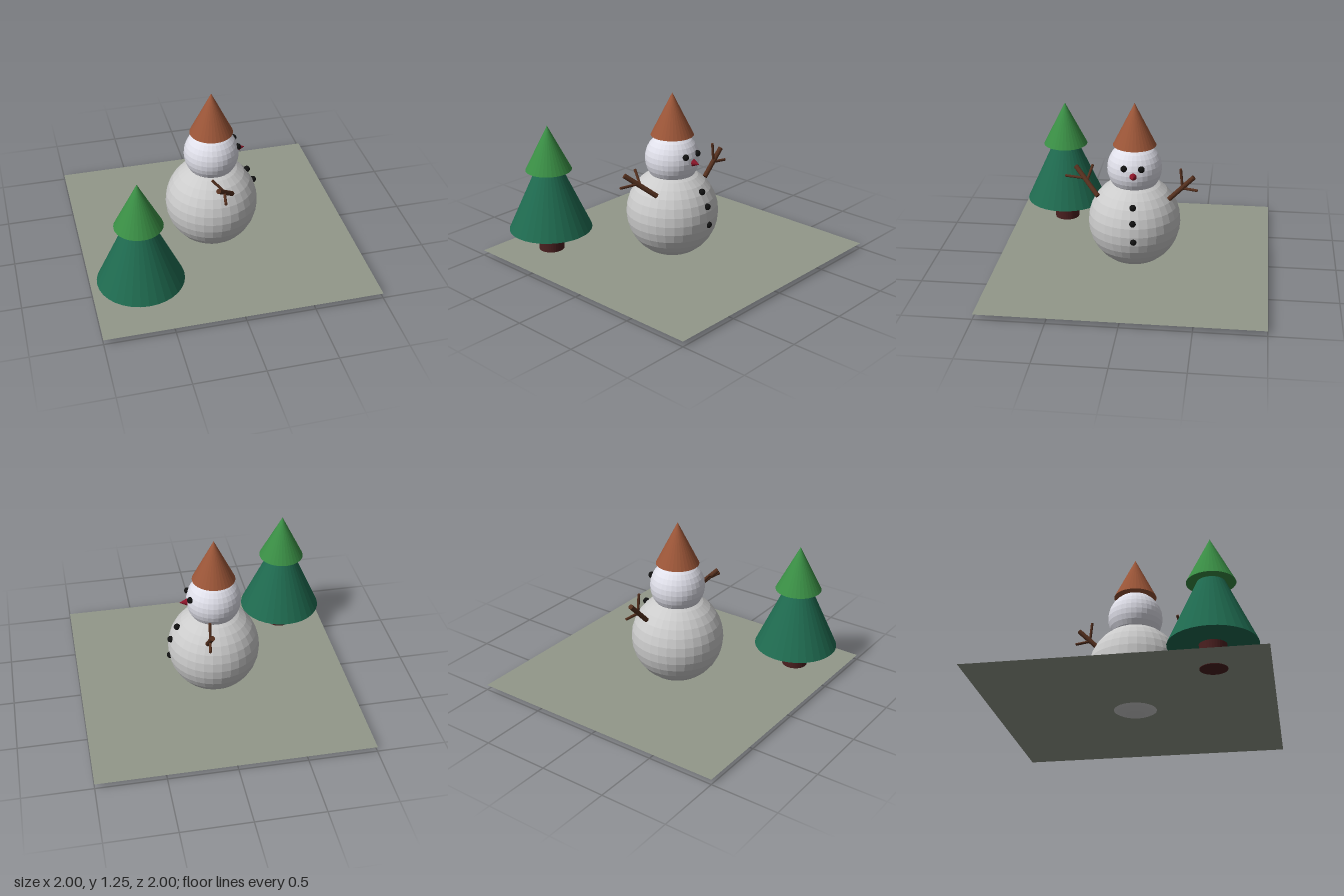
import * as THREE from 'three';

const mat = (color) => new THREE.MeshStandardMaterial({ color, flatShading: true });

export function createModel() {
  const model = new THREE.Group();
  const bark = mat(0x55301e);
  const coal = mat(0x111111);

  function add(name, geometry, material, x, y, z, parent = model) {
    const mesh = new THREE.Mesh(geometry, material);
    mesh.name = name;
    mesh.position.set(x, y, z);
    parent.add(mesh);
    return mesh;
  }

  // Cone placed by the height of its base and tip
  function cone(name, radius, base, tip, color, x, z, parent) {
    const geometry = new THREE.ConeGeometry(radius, tip - base, 32);
    return add(name, geometry, mat(color), x, (base + tip) / 2, z, parent);
  }

  // Tapered stick between two points
  function stick(name, from, to, r0, r1, parent) {
    const a = new THREE.Vector3(...from);
    const b = new THREE.Vector3(...to);
    const dir = b.clone().sub(a);
    const mid = a.clone().add(b).multiplyScalar(0.5);
    const mesh = add(name, new THREE.CylinderGeometry(r1, r0, dir.length(), 12), bark, mid.x, mid.y, mid.z, parent);
    mesh.quaternion.setFromUnitVectors(new THREE.Vector3(0, 1, 0), dir.normalize());
  }

  // Ground sheet, just above the bottom of the snowman
  const groundMat = mat(0x92988a);
  groundMat.side = THREE.DoubleSide;
  add('ground', new THREE.PlaneGeometry(2, 2).rotateX(-Math.PI / 2), groundMat, 0, 0.038, 0);

  // Tree
  const tree = new THREE.Group();
  tree.name = 'tree';
  tree.position.set(-0.665, 0, 0.62);
  model.add(tree);
  add('trunk', new THREE.CylinderGeometry(0.094, 0.094, 0.19, 32), mat(0x4a1f1f), 0, 0.13, 0, tree);
  cone('lowerBranches', 0.307, 0.207, 0.88, 0x1f6b50, 0, 0, tree);
  cone('upperBranches', 0.17, 0.665, 1.0, 0x3a8f45, 0, 0, tree);

  // Snowman, facing +x
  const snowman = new THREE.Group();
  snowman.name = 'snowman';
  model.add(snowman);
  add('body', new THREE.SphereGeometry(0.34, 32, 16), mat(0xcccccc), -0.01, 0.34, 0, snowman);
  add('head', new THREE.SphereGeometry(0.2, 32, 16), mat(0xe0e0ea), -0.01, 0.755, 0, snowman);
  cone('hat', 0.157, 0.93, 1.245, 0x9c5638, -0.01, 0, snowman);

  const pebble = new THREE.SphereGeometry(0.024, 16, 12);
  for (const z of [0.057, -0.068]) add('eye', pebble, coal, 0.172, 0.81, z, snowman);
  for (const [x, y, z] of [[0.265, 0.55, -0.017], [0.315, 0.447, -0.021], [0.323, 0.307, -0.027]])
    add('button', pebble, coal, x, y, z, snowman);
  const nose = new THREE.ConeGeometry(0.028, 0.06, 24).rotateZ(-Math.PI / 2);
  add('nose', nose, mat(0x8a1428), 0.213, 0.757, -0.01, snowman);

  // Arms: first pair of points is the branch, the rest are its twigs
  const arms = {
    rightArm: [
      [[0.08, 0.55, 0.26], [-0.065, 0.72, 0.442]],
      [[0.005, 0.635, 0.35], [-0.08, 0.73, 0.318]],
      [[-0.005, 0.652, 0.37], [-0.03, 0.655, 0.515]],
    ],
    leftArm: [
      [[0.08, 0.55, -0.26], [0.08, 0.73, -0.438]],
      [[0.08, 0.635, -0.358], [0.08, 0.79, -0.342]],
      [[0.08, 0.643, -0.35], [0.1, 0.635, -0.467]],
    ],
  };
  for (const [name, sticks] of Object.entries(arms)) {
    const arm = new THREE.Group();
    arm.name = name;
    snowman.add(arm);
    sticks.forEach(([from, to], i) => {
      const r = i === 0 ? 0.018 : 0.01;
      stick(i === 0 ? 'branch' : 'twig', from, to, r, r, arm);
    });
  }

  return model;
}
